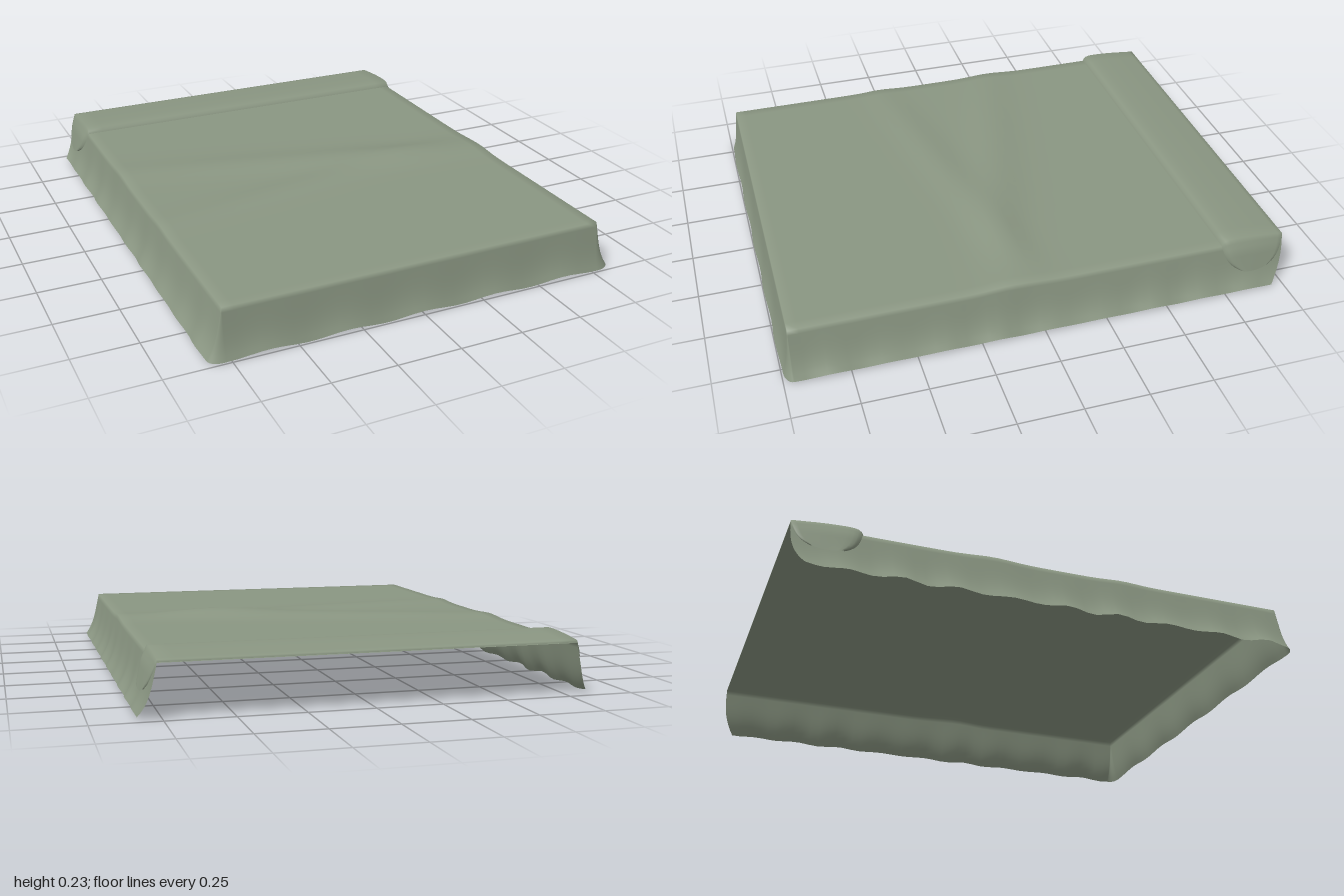
import * as THREE from 'three';
import { mergeGeometries, mergeVertices } from 'three/addons/utils/BufferGeometryUtils.js';

const X = 0.77, FRONT = 0.96, BACK = -1, TOP = 0.204;

// Grid surface: point(i, j) gives [x, y, z]; its front side faces (i direction) x (j direction)
function surface(ni, nj, point) {
  const pos = [], index = [];
  for (let i = 0; i <= ni; i++) for (let j = 0; j <= nj; j++) {
    pos.push(...point(i, j));
    if (i < ni && j < nj) {
      const a = i * (nj + 1) + j, b = a + nj + 1;
      index.push(a, b, a + 1, b, b + 1, a + 1);
    }
  }
  const g = new THREE.BufferGeometry();
  g.setAttribute('position', new THREE.Float32BufferAttribute(pos, 3));
  g.setIndex(index);
  return g;
}

// Soft creases that fan out from the right-hand middle: x0, z0, x1, z1, height, width
const creases = [
  [-0.85, -0.26, 0.45, 0.06, 0.017, 0.1],
  [-0.85, 0.3, 0.65, 0.04, 0.013, 0.08],
  [0.1, 0.02, 0.85, 0.14, 0.01, 0.09],
];
function topHeight(x, z) {
  let y = TOP;
  for (const [x0, z0, x1, z1, h, w] of creases) {
    const k = (x - x0) / (x1 - x0);
    const along = THREE.MathUtils.smoothstep(k, -0.5, 0.6) * (1 - THREE.MathUtils.smoothstep(k, 0.8, 1.2));
    const d = (z - z0 - (z1 - z0) * k) / w;
    y += h * along * Math.exp(-d * d);
  }
  return y;
}

function blanketGeometry() {
  const nx = 36, nz = 48, nd = 10, fan = 8;
  const gx = (j) => -X + (2 * X * j) / nx;
  const gz = (i) => BACK + ((FRONT - BACK) * i) / nz;
  const top = surface(nz, nx, (i, j) => [gx(j), topHeight(gx(j), gz(i)), gz(i)]);

  // Rim path: right side, front right corner, front, front left corner, left side
  const rim = [];
  for (let i = 0; i <= nz; i++) rim.push([X, gz(i), 0]);
  for (let k = 1; k < fan; k++) rim.push([X, FRONT, (k / fan) * Math.PI / 2]);
  for (let j = nx; j >= 0; j--) rim.push([gx(j), FRONT, Math.PI / 2]);
  for (let k = 1; k < fan; k++) rim.push([-X, FRONT, (1 + k / fan) * Math.PI / 2]);
  for (let i = nz; i >= 0; i--) rim.push([-X, gz(i), Math.PI]);

  const skirt = surface(rim.length - 1, nd, (i, j) => {
    const [x, z, a] = rim[i], t = j / nd;
    const nX = Math.cos(a), nZ = Math.sin(a);
    // Hem waves, different on the sides and the front
    const wave = nZ * Math.cos((x * 2 * Math.PI) / 0.305) +
      Math.abs(nX) * Math.cos((z * 2 * Math.PI) / 0.21 + x) * (0.7 + 0.3 * Math.sin(z * 9));
    const flare = 0.6 * t + 0.4 * t ** 4 + 0.08 * t * t * (wave - 1);
    const hem = 0.015 + 0.007 * wave;
    const backCurve = 0.05 * t ** 3 * Math.max(0, 1 - (z - BACK) / 0.25);
    return [
      x + nX * 0.072 * flare,
      THREE.MathUtils.lerp(topHeight(x, z), hem, t),
      z + nZ * 0.04 * flare + backCurve,
    ];
  });
  const g = mergeVertices(mergeGeometries([top, skirt]), 1e-4);
  g.computeVertexNormals();
  return g;
}

function foldGeometry() {
  // Across: drop down the left side, over the top, down the right side
  const across = [];
  const drop = 8, flat = 24;
  for (let k = drop; k > 0; k--) across.push([-1, k / drop]);
  for (let k = 0; k <= flat; k++) across.push([-1 + (2 * k) / flat, 0]);
  for (let k = 1; k <= drop; k++) across.push([1, k / drop]);
  // Lengthwise: position from back to front edge and the height above the blanket
  const rise = [[-1, 0.002], [-0.99, 0.01], [-0.85, 0.013], [-0.6, 0.016], [-0.3, 0.02], [0, 0.023],
    [0.3, 0.025], [0.55, 0.026], [0.75, 0.025], [0.88, 0.021], [0.96, 0.013], [1, 0.003]];
  const g = surface(rise.length - 1, across.length - 1, (i, j) => {
    const [v, h] = rise[i], [s, t] = across[j];
    const half = 0.13 * (1 - 0.25 * t - 0.3 * t ** 4);
    const round = 0.012 * t ** 2 * v * v;
    return [
      s * X + Math.sign(s) * (t > 0 ? 0.036 * t + 0.5 * h * Math.min(1, 3 * t) : 0),
      TOP + h * (1 - t) - 0.113 * t + round,
      -0.868 + half * v - (v < 0 ? 0.002 : 0),
    ];
  });
  g.computeVertexNormals();
  return g;
}

export function createModel() {
  const group = new THREE.Group();
  group.name = 'blanket';
  const cloth = new THREE.MeshStandardMaterial({ color: 0x8a9682, side: THREE.DoubleSide });
  cloth.name = 'sage cloth';

  const cover = new THREE.Mesh(blanketGeometry(), cloth);
  cover.name = 'drapedCover';
  const fold = new THREE.Mesh(foldGeometry(), cloth);
  fold.name = 'turnedBackFold';
  group.add(cover, fold);
  return group;
}
